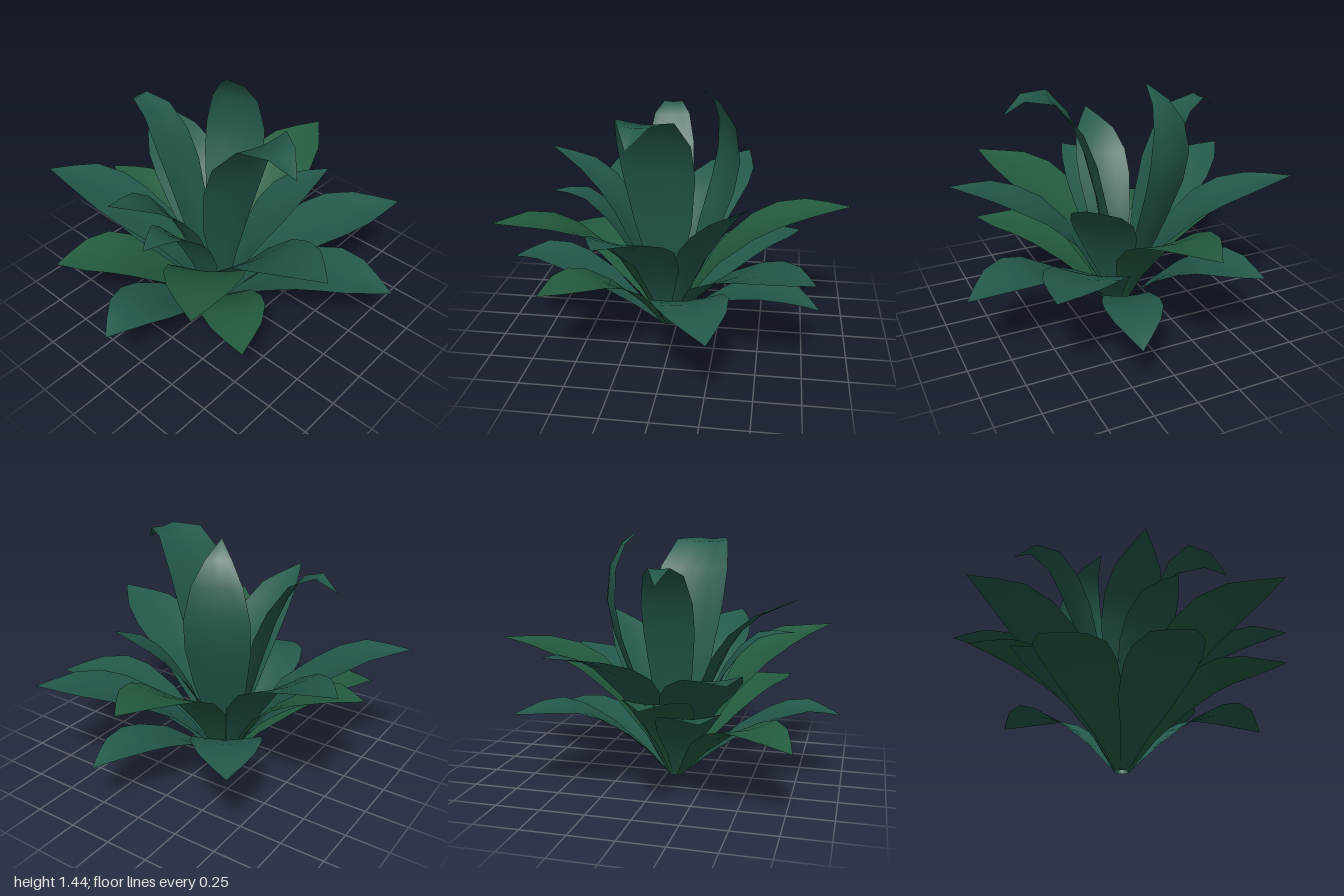
import * as THREE from 'three';

const teal = new THREE.MeshStandardMaterial({ color: 0x24594c, side: THREE.DoubleSide });
const green = new THREE.MeshStandardMaterial({ color: 0x245c40, side: THREE.DoubleSide });

// Centre of the crown the leaves grow from
const CX = -0.035, CZ = 0.055, RING = 0.035;

// Rows along a leaf: position on the spine, relative width
const ROWS = [[0, 0.12], [0.2, 0.42], [0.4, 0.82], [0.58, 1], [0.7, 0.99], [0.82, 0.76], [0.91, 0.4], [1, 0]];
// Columns across a leaf: side offset, drop towards the midrib
const COLS = [[-0.5, 0], [-0.25, -0.035], [0, -0.055], [0.25, -0.035], [0.5, 0]];

// One leaf: heading point (x, z), width, spine as [fraction of the reach, height]
function leafGeometry(x, z, width, spine) {
  const dx = x - CX, dz = z - CZ, reach = Math.hypot(dx, dz);
  const out = new THREE.Vector3(dx / reach, 0, dz / reach);
  const side = new THREE.Vector3(out.z, 0, -out.x);
  const points = [[RING / reach, 0.01], ...spine].map(([f, y]) =>
    new THREE.Vector3(CX + out.x * f * reach, y, CZ + out.z * f * reach));
  const curve = new THREE.CatmullRomCurve3(points, false, 'centripetal');
  const positions = [], index = [];
  ROWS.forEach(([t, w]) => {
    const p = curve.getPointAt(t);
    const up = new THREE.Vector3().crossVectors(curve.getTangentAt(t), side);
    COLS.forEach(([s, d]) => {
      const v = p.clone().addScaledVector(side, s * w * width).addScaledVector(up, d * w * width);
      positions.push(v.x, Math.max(v.y, 0), v.z);
    });
  });
  const n = COLS.length;
  for (let r = 0; r < ROWS.length - 1; r++) {
    for (let c = 0; c < n - 1; c++) {
      const a = r * n + c, b = a + n;
      index.push(a, b, a + 1);
      if (r < ROWS.length - 2) index.push(b, b + 1, a + 1);
    }
  }
  const g = new THREE.BufferGeometry();
  g.setAttribute('position', new THREE.Float32BufferAttribute(positions, 3));
  g.setIndex(index);
  g.computeVertexNormals();
  return g;
}

const LEAVES = {
  // Low outer leaves that droop at the tips
  lowerLeaf: [
    [0.235, -0.84, 0.32, [[0.3, 0.24], [0.65, 0.36], [0.84, 0.35], [1, 0.285]]],
    [0.976, -0.275, 0.4, [[0.35, 0.34], [0.61, 0.49], [0.79, 0.5], [1, 0.445]]],
    [0.675, 0.645, 0.36, [[0.3, 0.31], [0.62, 0.49], [1, 0.49]], green],
    [0.02, 0.99, 0.38, [[0.42, 0.32], [0.72, 0.455], [0.82, 0.465], [1, 0.415]]],
    [-0.655, 0.79, 0.38, [[0.3, 0.27], [0.63, 0.45], [0.8, 0.45], [1, 0.39]], green],
    [-0.56, -0.73, 0.38, [[0.3, 0.29], [0.65, 0.48], [1, 0.455]]],
    [-0.72, 0.34, 0.34, [[0.3, 0.32], [0.65, 0.5], [1, 0.525]]],
  ],
  // Middle leaves that spread wide
  middleLeaf: [
    [-0.1, -1, 0.43, [[0.25, 0.44], [0.52, 0.69], [0.75, 0.775], [1, 0.79]], green],
    [0.665, -0.79, 0.42, [[0.3, 0.39], [0.65, 0.59], [1, 0.64]]],
    [0.905, 0.28, 0.42, [[0.32, 0.57], [0.7, 0.81], [1, 0.87]]],
    [0.57, 0.89, 0.42, [[0.32, 0.55], [0.65, 0.79], [1, 0.845]], green],
    [0.06, 0.72, 0.29, [[0.35, 0.58], [0.7, 0.85], [1, 0.865]]],
    [-0.98, 0.52, 0.4, [[0.28, 0.45], [0.56, 0.66], [0.74, 0.765], [1, 0.79]]],
    [-0.905, 0.09, 0.36, [[0.3, 0.4], [0.6, 0.58], [0.8, 0.625], [1, 0.625]], green],
    [-0.955, -0.37, 0.42, [[0.27, 0.5], [0.5, 0.72], [0.74, 0.82], [1, 0.865]]],
    [0.37, -0.45, 0.36, [[0.3, 0.48], [0.65, 0.78], [1, 0.92]]],
  ],
  // Tall inner leaves
  upperLeaf: [
    [-0.13, 0.76, 0.32, [[0.3, 0.65], [0.6, 0.95], [1, 1.08]]],
    [0.6, 0.17, 0.43, [[0.18, 0.8], [0.39, 1.22], [0.58, 1.36], [0.84, 1.365], [0.92, 1.34], [1, 1.27]]],
    [-0.695, 0.11, 0.28, [[0.35, 0.85], [0.5, 1.08], [0.68, 1.24], [0.87, 1.265], [1, 1.19]]],
    [-0.2, -0.29, 0.36, [[0.55, 0.5], [0.95, 0.98], [0.95, 1.22], [0.72, 1.39], [0.5, 1.45]]],
  ],
};

export function createModel() {
  const plant = new THREE.Group();
  plant.name = 'plant';
  for (const [name, leaves] of Object.entries(LEAVES)) {
    leaves.forEach(([x, z, width, spine, material = teal], i) => {
      const leaf = new THREE.Mesh(leafGeometry(x, z, width, spine), material);
      leaf.name = name + (i + 1);
      plant.add(leaf);
    });
  }
  return plant;
}
